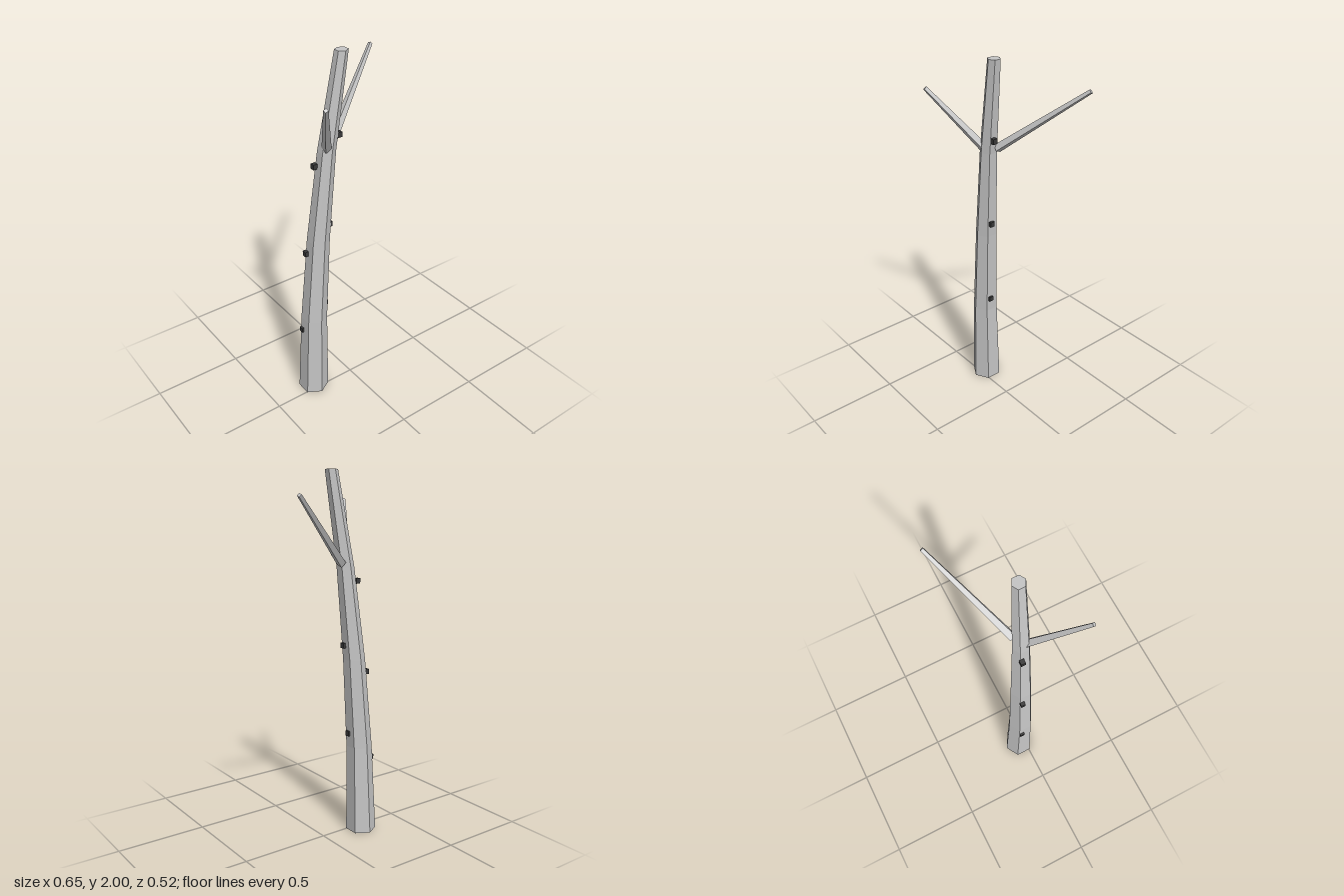
import * as THREE from 'three';

export function createModel() {
  const group = new THREE.Group();
  const bark = new THREE.MeshStandardMaterial({ color: 0xc4c4c4, flatShading: true, side: THREE.DoubleSide });
  bark.name = 'pale grey bark';
  const dark = new THREE.MeshStandardMaterial({ color: 0x383838, flatShading: true });
  dark.name = 'dark knot';

  const add = (name, geometry, material) => {
    const mesh = new THREE.Mesh(geometry, material);
    mesh.name = name;
    group.add(mesh);
    return mesh;
  };

  // Curved trunk: a six-sided column whose rings follow [x, z, radius] every 0.5 up
  const rings = [
    [-0.237, -0.038, 0.084],
    [-0.226, -0.028, 0.071],
    [-0.193, -0.017, 0.06],
    [-0.143, 0, 0.047],
    [-0.065, 0.021, 0.034],
  ];
  const trunk = new THREE.CylinderGeometry(1, 1, 2, 6, 4).translate(0, 1, 0);
  const p = trunk.attributes.position;
  for (let i = 0; i < p.count; i++) {
    const [x, z, r] = rings[Math.round(p.getY(i) * 2)];
    p.setX(i, x + p.getX(i) * r);
    p.setZ(i, z + p.getZ(i) * r);
  }
  // The trunk is open underneath: drop the six triangles of the bottom cap
  trunk.setIndex(Array.from(trunk.index.array).slice(0, -18));
  trunk.clearGroups();
  trunk.computeVertexNormals();
  add('trunk', trunk, bark);

  // Square tapered branches
  const branch = (name, from, to) => {
    const a = new THREE.Vector3(...from);
    const d = new THREE.Vector3(...to).sub(a);
    const length = d.length();
    const geometry = new THREE.CylinderGeometry(0.012, 0.025, length, 4)
      .rotateY(Math.PI / 4)
      .translate(0, length / 2, 0);
    const mesh = add(name, geometry, bark);
    mesh.position.copy(a);
    mesh.quaternion.setFromUnitVectors(new THREE.Vector3(0, 1, 0), d.normalize());
  };
  branch('leftBranch', [-0.1, 1.522, -0.022], [0.316, 1.88, -0.25]);
  branch('rightBranch', [-0.157, 1.522, 0.021], [-0.317, 1.84, 0.25]);

  // Small knots up both sides of the trunk
  const knots = [
    [-0.289, 0.427, -0.05],
    [-0.257, 0.925, -0.039],
    [-0.203, 1.425, -0.022],
    [-0.163, 0.58, -0.015],
    [-0.132, 1.08, -0.005],
    [-0.08, 1.577, 0.014],
  ];
  for (const k of knots) {
    add('knot', new THREE.BoxGeometry(0.026, 0.028, 0.025), dark).position.set(...k);
  }
  return group;
}
